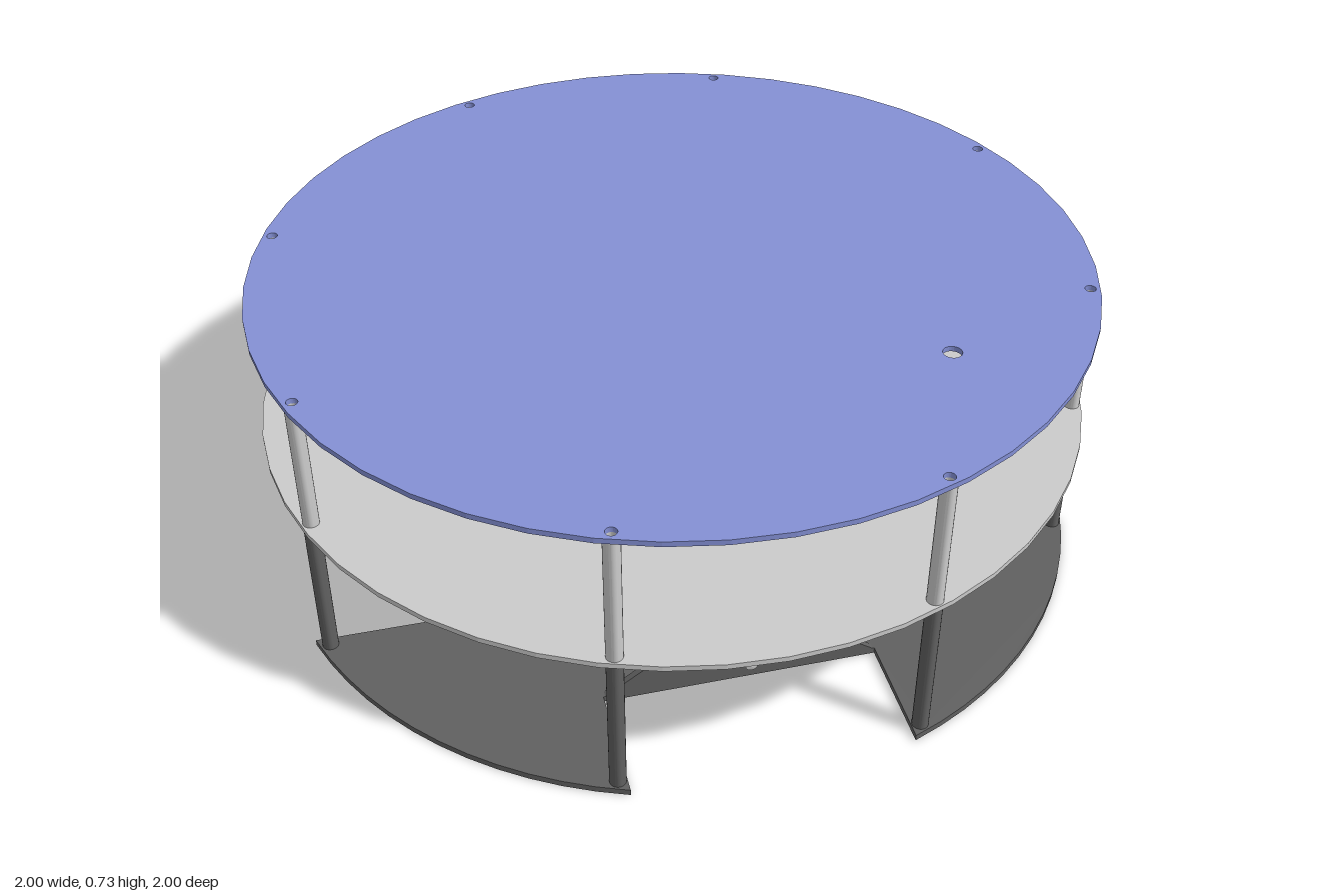
import * as THREE from 'three';
import { toCreasedNormals } from 'three/addons/utils/BufferGeometryUtils.js';

const mat = (color) => new THREE.MeshStandardMaterial({ color });
const grey = mat(0xcccccc), dark = mat(0x606060), blue = mat(0x8490d5), gold = mat(0xd8c48a);

const PLATE = 0.013;
const AXIS_Y = 0.115;       // motor shaft height
const BRACKET_D = 0.665;    // outer bracket face, measured from the centre
const NOTCH_W = 0.325;      // half width of the wheel notch
const POSTS = [];
for (let k = 0; k < 4; k++)
  for (const s of [-1, 1]) {
    const a = k * Math.PI / 2 + s * 0.423;
    POSTS.push([0.976 * Math.cos(a), 0.976 * Math.sin(a)]);
  }

function add(parent, name, geometry, material, x = 0, y = 0, z = 0) {
  const mesh = new THREE.Mesh(geometry, material);
  mesh.name = name;
  mesh.position.set(x, y, z);
  parent.add(mesh);
  return mesh;
}

function punch(shape, x, y, r) {
  shape.holes.push(new THREE.Path().absarc(x, y, r, 0, Math.PI * 2, true));
}

const extrude = (shape, depth, curveSegments = 12) =>
  new THREE.ExtrudeGeometry(shape, { depth, bevelEnabled: false, curveSegments });

// Horizontal plate from an outline, with the post holes
function plate(shape, thickness) {
  POSTS.forEach(([x, z]) => punch(shape, x, -z, 0.013));
  return extrude(shape, thickness).rotateX(-Math.PI / 2);
}

function roundPlate() {
  const pts = [];
  for (let i = 0; i < 48; i++) {
    const a = i / 48 * Math.PI * 2;
    pts.push(new THREE.Vector2(Math.cos(a), Math.sin(a)));
  }
  const shape = new THREE.Shape(pts);
  punch(shape, 0.72, 0, 0.022);
  return plate(shape, PLATE);
}

// Disc with four straight-sided notches on the diagonals
function notchedPlate() {
  const pts = [];
  const half = Math.asin(NOTCH_W);
  const depth = BRACKET_D;
  for (let k = 0; k < 4; k++) {
    const mid = Math.PI / 4 + k * Math.PI / 2;
    const c = Math.cos(mid), s = Math.sin(mid);
    for (const w of [-NOTCH_W, NOTCH_W])
      pts.push(new THREE.Vector2(depth * c - w * s, depth * s + w * c));
    const from = mid + half, span = Math.PI / 2 - 2 * half;
    for (let i = 0; i <= 12; i++) {
      const a = from + span * i / 12;
      pts.push(new THREE.Vector2(Math.cos(a), Math.sin(a)));
    }
  }
  return plate(new THREE.Shape(pts), 0.015);
}

// Hollow standoff
function post(height) {
  const shape = new THREE.Shape().absarc(0, 0, 0.019, 0, Math.PI * 2);
  punch(shape, 0, 0, 0.013);
  return toCreasedNormals(extrude(shape, height).rotateX(-Math.PI / 2), 0.7);
}

// Triangular bracket with a rounded top
function bracketGeometry() {
  const shape = new THREE.Shape();
  const a = THREE.MathUtils.degToRad(55.8);
  shape.moveTo(-NOTCH_W, 0.012);
  shape.lineTo(NOTCH_W, 0.012);
  shape.absarc(0, AXIS_Y, 0.1, a, Math.PI - a);
  shape.closePath();
  punch(shape, 0, AXIS_Y, 0.03);
  for (const s of [-1, 1]) punch(shape, 0, AXIS_Y + s * 0.069, 0.011);
  return toCreasedNormals(extrude(shape, 0.016, 20), 0.5);
}

// Turned part along z from [radius, z] points
function turned(points) {
  const pts = points.map(([r, z]) => new THREE.Vector2(r, z));
  return toCreasedNormals(new THREE.LatheGeometry(pts, 32).rotateX(Math.PI / 2), 0.6);
}

function motorUnit() {
  const g = new THREE.Group();
  g.name = 'motorUnit';
  add(g, 'bracket', bracketGeometry(), dark, 0, 0, BRACKET_D - 0.016);

  // Motor can with a rounded inner end
  const can = [[0, 0.3]];
  for (let i = 0; i <= 6; i++) {
    const a = i / 6 * Math.PI / 2;
    can.push([0.048 + 0.05 * Math.sin(a), 0.35 - 0.05 * Math.cos(a)]);
  }
  can.push([0.098, 0.47]);
  add(g, 'motorCan', turned(can), grey, 0, AXIS_Y);
  add(g, 'gearbox', turned([[0.09, 0.46], [0.1, 0.46], [0.1, 0.649], [0, 0.649]]), grey, 0, AXIS_Y);

  // Connector at the inner end, with rows of pins
  add(g, 'connector', new THREE.BoxGeometry(0.1, 0.08, 0.14), grey, 0, AXIS_Y, 0.235);
  for (let i = 0; i < 6; i++)
    add(g, 'connectorPin', new THREE.BoxGeometry(0.1, 0.009, 0.045), grey, 0, AXIS_Y - 0.045 + i * 0.018, 0.15);
  add(g, 'connectorEnd', new THREE.BoxGeometry(0.1, 0.1, 0.014), grey, 0, AXIS_Y, 0.123);

  // Output shaft, bushing and mounting screws
  add(g, 'bushing', turned([[0.037, 0.649], [0.037, 0.677], [0.014, 0.677]]), gold, 0, AXIS_Y);
  add(g, 'shaft', turned([[0.014, 0.64], [0.014, 0.745], [0, 0.75]]), grey, 0, AXIS_Y);
  for (const s of [-1, 1])
    add(g, 'mountingScrew', new THREE.CylinderGeometry(0.011, 0.011, 0.01, 12).rotateX(Math.PI / 2),
      dark, 0, AXIS_Y + s * 0.069, 0.653);
  return g;
}

export function createModel() {
  const model = new THREE.Group();
  model.name = 'roundRobotChassis';

  add(model, 'basePlate', notchedPlate(), dark);
  add(model, 'middlePlate', roundPlate(), grey, 0, 0.379, 0);
  add(model, 'topPlate', roundPlate(), blue, 0, 0.714, 0);

  const lower = post(0.379 - 0.015), upper = post(0.714 - 0.392);
  for (const [x, z] of POSTS) {
    add(model, 'lowerPost', lower, dark, x, 0.015, z);
    add(model, 'upperPost', upper, grey, x, 0.392, z);
  }

  for (let k = 0; k < 4; k++) {
    const unit = motorUnit();
    unit.rotation.y = Math.PI / 4 + k * Math.PI / 2;
    model.add(unit);
  }
  return model;
}
